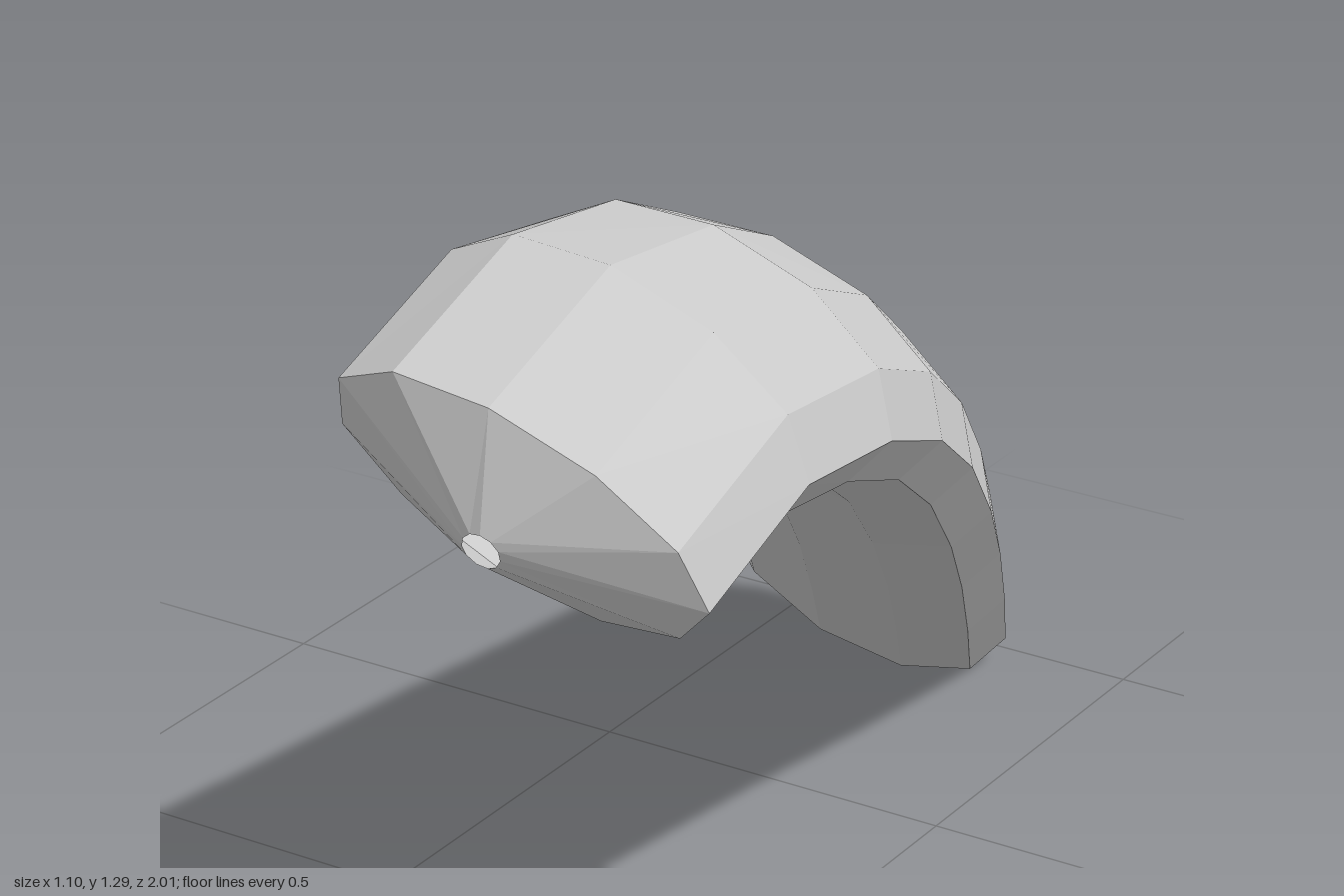
import * as THREE from 'three';

const SIDES = 11, HALF_WIDTH = 0.22, HALF_HEIGHT = 0.11;
const TIP_LENGTH = 0.073, TIP_RADIUS = 0.022;

// Centre line of the bar, from the low back end to the hooked front end
const PATH = [
  [-0.36, 0.127, -0.92], [-0.24, 0.305, -0.7], [-0.125, 0.485, -0.48], [-0.01, 0.66, -0.25],
  [0.105, 0.84, 0], [0.2, 0.985, 0.235], [0.285, 1.1, 0.485], [0.342, 1.165, 0.74], [0.344, 1.1, 0.93],
].map((p) => new THREE.Vector3(...p));

// Direction of the path at point i, averaged from its neighbouring segments
function tangentAt(i) {
  const t = new THREE.Vector3();
  for (const k of [i - 1, i]) {
    if (PATH[k] && PATH[k + 1]) t.add(PATH[k + 1].clone().sub(PATH[k]).normalize());
  }
  return t.normalize();
}

// Flattened polygon ring, square to the path, with one corner at its underside
function ring(centre, tangent, rx, ry) {
  const wide = new THREE.Vector3(0.9, -0.43, -0.15).projectOnPlane(tangent).normalize();
  const up = tangent.clone().cross(wide);
  return Array.from({ length: SIDES }, (_, j) => {
    const a = -Math.PI / 2 + (j / SIDES) * Math.PI * 2;
    return centre.clone().addScaledVector(wide, rx * Math.cos(a)).addScaledVector(up, ry * Math.sin(a));
  });
}

// Joins consecutive rings with quads
function loft(rings) {
  const positions = rings.flat().flatMap((p) => p.toArray());
  const index = [];
  for (let i = 0; i < rings.length - 1; i++) {
    for (let j = 0; j < SIDES; j++) {
      const k = (j + 1) % SIDES;
      const a = i * SIDES + j, b = i * SIDES + k, c = b + SIDES, d = a + SIDES;
      index.push(a, b, c, a, c, d);
    }
  }
  const geometry = new THREE.BufferGeometry();
  geometry.setAttribute('position', new THREE.Float32BufferAttribute(positions, 3));
  geometry.setIndex(index);
  geometry.computeVertexNormals();
  return geometry;
}

export function createModel() {
  const group = new THREE.Group();
  group.name = 'curvedBar';
  const material = new THREE.MeshStandardMaterial({ color: 0xcccccc, flatShading: true, side: THREE.DoubleSide });
  const add = (name, rings) => {
    const mesh = new THREE.Mesh(loft(rings), material);
    mesh.name = name;
    group.add(mesh);
  };

  // Bent body
  const rings = PATH.map((p, i) => ring(p, tangentAt(i), HALF_WIDTH, HALF_HEIGHT));
  add('body', rings);

  // Shallow conical ends, each with a tiny round opening at its tip
  const last = PATH.length - 1;
  const tip = (i, sign) => {
    const t = tangentAt(i);
    return ring(PATH[i].clone().addScaledVector(t, sign * TIP_LENGTH), t, TIP_RADIUS, TIP_RADIUS);
  };
  add('backEnd', [tip(0, -1), rings[0]]);
  add('frontEnd', [rings[last], tip(last, 1)]);
  return group;
}
